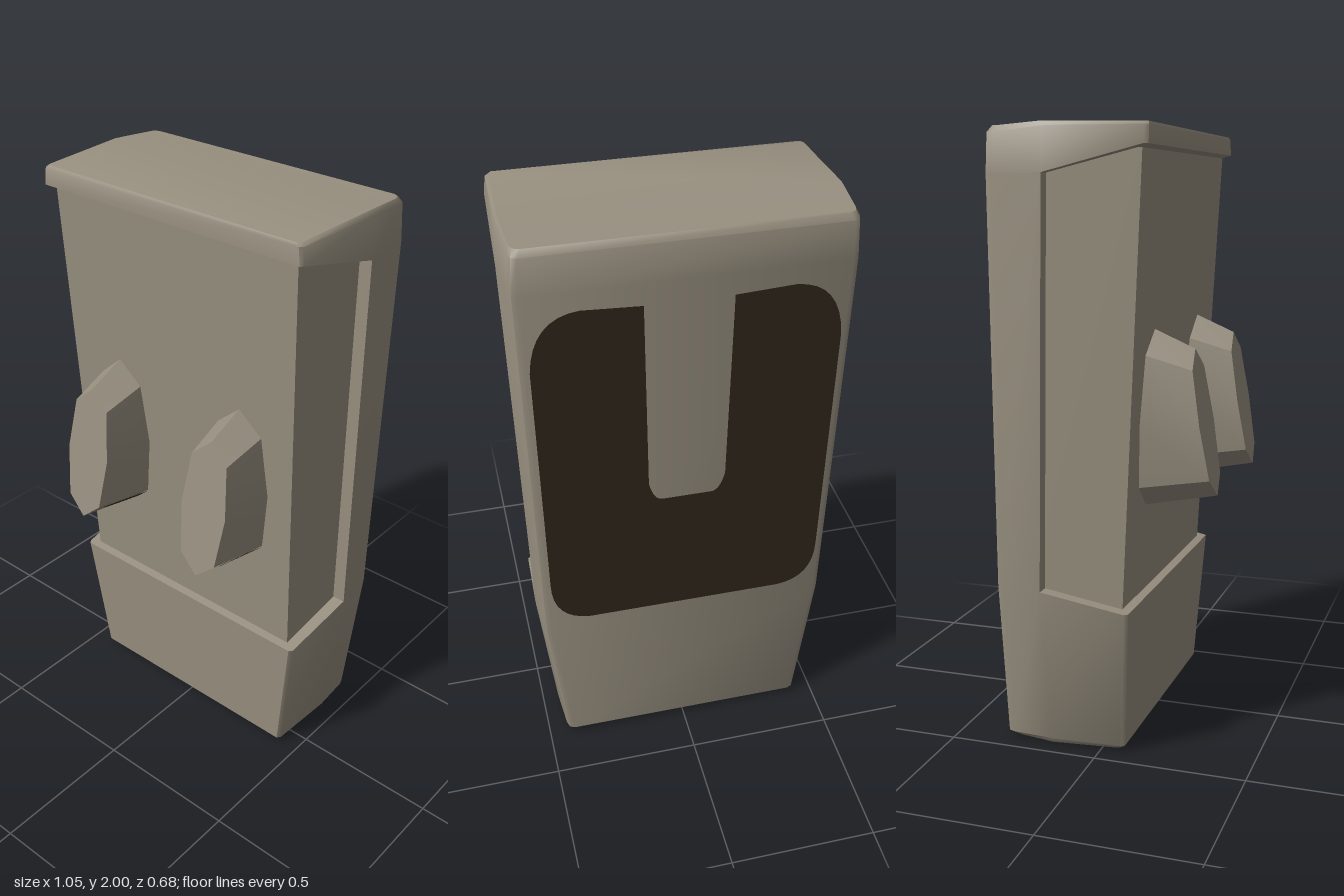
import * as THREE from 'three';
import { toCreasedNormals } from 'three/addons/utils/BufferGeometryUtils.js';

const shellMat = new THREE.MeshStandardMaterial({ color: 0x989080 });
shellMat.name = 'warm grey';
const darkMat = new THREE.MeshStandardMaterial({ color: 0x30271c });
darkMat.name = 'dark brown';

// Skin a stack of closed rings, counterclockwise seen from the far end, and cap both ends in strips
function loft(rings, crease) {
  const n = rings[0].length, pos = [];
  const quad = (a, b, c, d) => pos.push(...a, ...b, ...c, ...a, ...c, ...d);
  for (let k = 0; k < rings.length - 1; k++)
    for (let i = 0; i < n; i++) {
      const j = (i + 1) % n;
      quad(rings[k][i], rings[k][j], rings[k + 1][j], rings[k + 1][i]);
    }
  const first = rings[0], last = rings[rings.length - 1];
  for (let i = 0; i < n / 2 - 1; i++) {
    quad(last[i], last[i + 1], last[n - 2 - i], last[n - 1 - i]);
    quad(first[n - 1 - i], first[n - 2 - i], first[i + 1], first[i]);
  }
  const g = new THREE.BufferGeometry();
  g.setAttribute('position', new THREE.Float32BufferAttribute(pos, 3));
  return toCreasedNormals(g, crease);
}

const mirrorRing = half => [...half, ...half.slice().reverse().map(([x, y, z]) => [-x, y, z])];

// Horizontal shell section: heights and depths at front, middle and back, and half width
function shellRing([yF, yM, yB, zF, zM, zB, w]) {
  const c = zF > zM ? 1 : 0;
  const hw = z => w - 0.012 * Math.min(1, Math.abs(z - zM) / 0.2);
  return mirrorRing([
    [hw(zF) - 0.01, yF, zF],
    [hw(zF), yF, zF - 0.012 * c],
    [w, yM, zM],
    [hw(zB), yB, zB + 0.03],
    [hw(zB) - 0.008, yB, zB + 0.008],
    [hw(zB) - 0.025, yB, zB],
  ]);
}

// Octagonal peg outline: centre height, half height, half width, depth at the centre, slope
function pegRing(cy, hh, hw, z0, slope) {
  return [[0, -1], [0.78, -0.74], [1, 0], [0.78, 0.74], [0, 1], [-0.78, 0.74], [-1, 0], [-0.78, -0.74]]
    .map(([u, v]) => [u * hw, cy + v * hh, z0 + slope * v * hh]);
}

export function createModel() {
  const model = new THREE.Group();
  const add = (geo, mat, name, parent = model) => {
    const m = new THREE.Mesh(geo, mat);
    m.name = name;
    parent.add(m);
    return m;
  };

  // Outer shell: foot block, back slab and overhanging cap in one skin
  const rows = [
    [0.006, 0, 0.006, 0.065, -0.17, -0.315, 0.43],
    [0.02, 0.02, 0.02, 0.08, -0.17, -0.335, 0.445],
    [0.49, 0.54, 0.54, 0.11, -0.18, -0.34, 0.5],
    [0.54, 0.54, 0.54, -0.18, -0.18, -0.34, 0.5],
    [1.85, 1.85, 1.85, -0.145, -0.145, -0.34, 0.525],
    [1.93, 1.85, 1.85, 0.183, -0.145, -0.34, 0.525],
    [1.985, 1.985, 1.97, 0.183, -0.145, -0.337, 0.518],
    [1.994, 2, 1.99, 0.178, -0.145, -0.322, 0.508],
  ];
  add(loft(rows.map(shellRing), 0.7), shellMat, 'shell');

  // Narrower front panel set into the shell
  const panelRing = (y, w, z) => mirrorRing([[w, y, z], [w + 0.005, y, -0.25]]);
  add(loft([panelRing(0.46, 0.45, 0.08), panelRing(1.92, 0.48, 0.157)], 0.3), shellMat, 'frontPanel');

  // Pegs, each with a dark patch on one lower facet
  const base = pegRing(1.08, 0.29, 0.112, 0.105, 0.06);
  const tip = pegRing(1.075, 0.235, 0.09, 0.3, -0.165);
  const facet = (u, v) => {
    const mix = (a, b, t) => a.map((q, i) => q + (b[i] - q) * t);
    const p = mix(mix(base[1], base[0], u), mix(tip[1], tip[0], u), v);
    return [p[0] + 0.002, p[1] - 0.003, p[2]];
  };
  const edge = [[0, 0], [0.62, 0], [0.58, 0.35], [0.42, 0.65], [0.2, 0.85], [0, 0.9]].map(p => facet(...p));
  const patch = [];
  for (let i = 1; i < edge.length - 1; i++) patch.push(...edge[0], ...edge[i], ...edge[i + 1]);
  const patchGeo = new THREE.BufferGeometry();
  patchGeo.setAttribute('position', new THREE.Float32BufferAttribute(patch, 3));
  patchGeo.computeVertexNormals();
  const patchMat = darkMat;
  patchMat.side = THREE.DoubleSide;
  for (const [x, side] of [[0.257, 'left'], [-0.257, 'right']]) {
    const peg = new THREE.Group();
    peg.name = side + 'Peg';
    peg.position.x = x;
    add(loft([base, tip], 0.3), shellMat, 'pegBody', peg);
    add(patchGeo, patchMat, 'pegPatch', peg);
    model.add(peg);
  }

  // Dark U-shaped pad on the back
  const s = new THREE.Shape();
  s.moveTo(-0.33, 0.59);
  s.lineTo(0.33, 0.59);
  s.quadraticCurveTo(0.46, 0.6, 0.46, 0.76);
  s.lineTo(0.472, 1.6);
  s.quadraticCurveTo(0.46, 1.78, 0.32, 1.79);
  s.lineTo(0.135, 1.78);
  s.lineTo(0.125, 1.13);
  s.quadraticCurveTo(0.11, 1.06, 0.08, 1.06);
  s.lineTo(-0.08, 1.06);
  s.quadraticCurveTo(-0.11, 1.06, -0.125, 1.13);
  s.lineTo(-0.135, 1.78);
  s.lineTo(-0.32, 1.79);
  s.quadraticCurveTo(-0.46, 1.78, -0.472, 1.6);
  s.lineTo(-0.46, 0.76);
  s.quadraticCurveTo(-0.46, 0.6, -0.33, 0.59);
  const pad = add(new THREE.ShapeGeometry(s, 8), darkMat, 'backPad');
  pad.rotation.y = Math.PI;
  pad.position.z = -0.343;

  return model;
}
